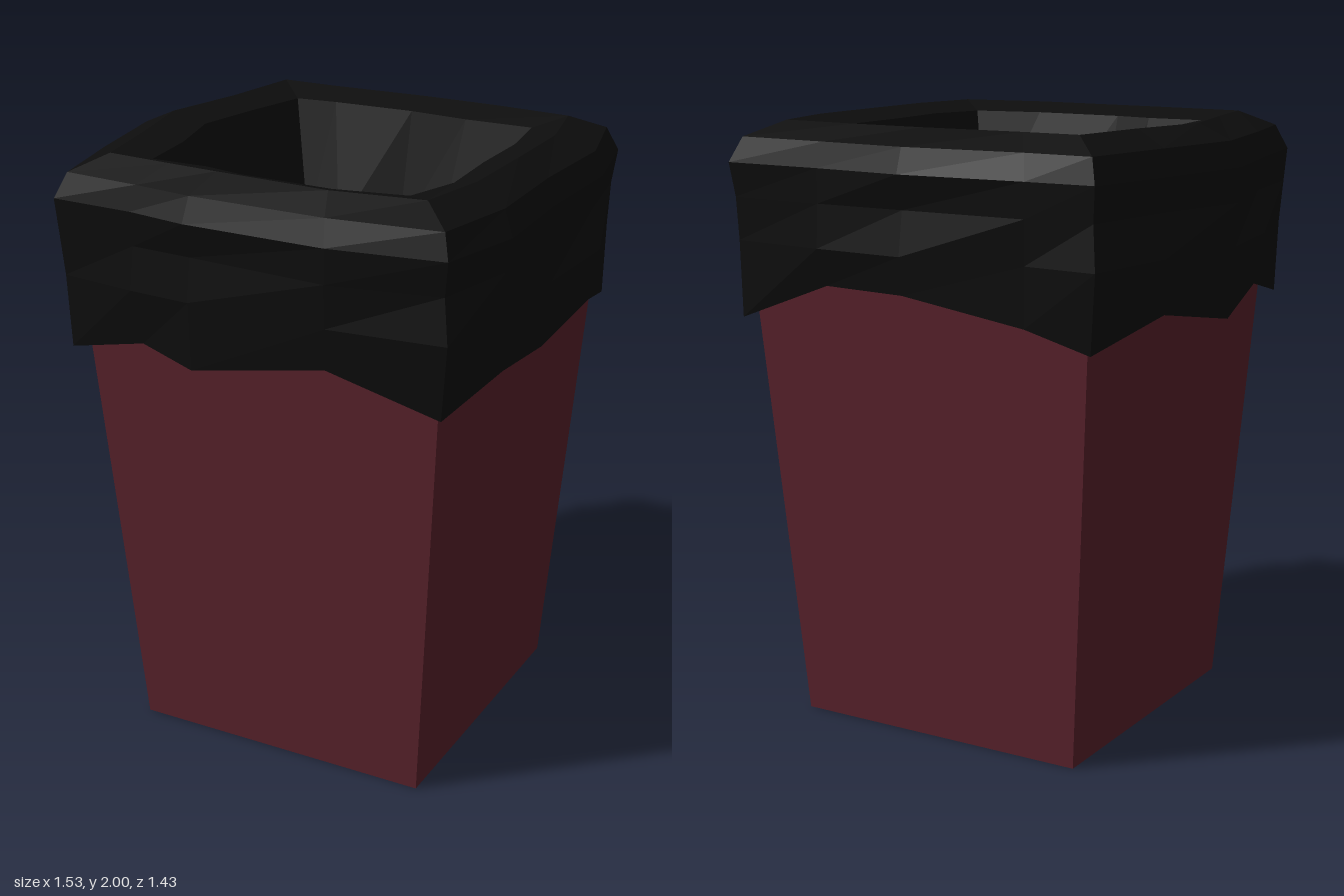
import * as THREE from 'three';

const binRed = new THREE.MeshStandardMaterial({ color: 0x5a222c, side: THREE.DoubleSide });
binRed.name = 'binRed';
const bagBlack = new THREE.MeshStandardMaterial({ color: 0x0d0d0d, side: THREE.DoubleSide });
bagBlack.name = 'bagBlack';

// Square tapered shell, open at the top, plus its floor
function createBin() {
  const bin = new THREE.Group();
  bin.name = 'bin';
  const height = 1.9;
  const wall = new THREE.CylinderGeometry(0.645 * Math.SQRT2, 0.515 * Math.SQRT2, height, 4, 1, true)
    .rotateY(Math.PI / 4).translate(0.04, height / 2, -0.005).toNonIndexed();
  wall.computeVertexNormals();
  const floor = new THREE.PlaneGeometry(1.03, 1.03).rotateX(Math.PI / 2).translate(0.04, 0, -0.005);
  const wallMesh = new THREE.Mesh(wall, binRed);
  wallMesh.name = 'binWalls';
  const floorMesh = new THREE.Mesh(floor, binRed);
  floorMesh.name = 'binFloor';
  bin.add(wallMesh, floorMesh);
  return bin;
}

// Widest outline of the bag: [x, z, hem height], front-left round to the right, back and left
const outline = [
  [-0.64, 0.665, 1.38], [-0.36, 0.68, 1.44], [-0.15, 0.705, 1.4], [0.33, 0.715, 1.485],
  [0.70, 0.665, 1.375], [0.765, 0.37, 1.45], [0.755, 0, 1.4], [0.765, -0.37, 1.45],
  [0.695, -0.685, 1.37], [0.35, -0.70, 1.5], [0.03, -0.72, 1.5], [-0.4, -0.695, 1.43],
  [-0.635, -0.695, 1.37], [-0.70, -0.35, 1.45], [-0.77, 0, 1.39], [-0.70, 0.35, 1.45],
];

// Rings from the hem, up over the rim and down inside: inset, height, wobble
const rings = [
  { inset: 0.025, y: null, wobble: 0.008 },
  { inset: 0.008, y: 1.62, wobble: 0.01 },
  { inset: 0.015, y: 1.76, wobble: 0.012 },
  { inset: 0.002, y: 1.87, wobble: 0.004 },
  { inset: 0.03, y: 1.95, wobble: 0.004 },
  { inset: 0.135, y: 2.0, wobble: 0.006 },
  { inset: 0.24, y: 1.97, wobble: 0.008 },
  { inset: 0.34, y: 1.56, wobble: 0.012 },
];

function createBag() {
  const n = outline.length;
  const positions = [];
  const index = [];
  rings.forEach(({ inset, y, wobble }, j) => {
    outline.forEach(([x, z, hem], i) => {
      const w = inset + wobble * Math.sin(i * 2.3 + j * 1.9);
      // Each side moves in along its own axis, the corners along both
      const k = 1 - w / 0.7;
      positions.push(0.03 + (x - 0.03) * k, y ?? hem, z * k);
      if (j < rings.length - 1) {
        const a = j * n + i, b = j * n + (i + 1) % n;
        index.push(a, b, b + n, a, b + n, a + n);
      }
    });
  });
  // Sagging bottom of the bag
  const centre = rings.length * n;
  positions.push(0.02, 1.5, 0);
  for (let i = 0; i < n; i++) {
    index.push(centre - n + i, centre - n + (i + 1) % n, centre);
  }
  const indexed = new THREE.BufferGeometry();
  indexed.setAttribute('position', new THREE.Float32BufferAttribute(positions, 3));
  indexed.setIndex(index);
  const geometry = indexed.toNonIndexed();
  geometry.computeVertexNormals();
  const bag = new THREE.Mesh(geometry, bagBlack);
  bag.name = 'bagLiner';
  return bag;
}

export function createModel() {
  const model = new THREE.Group();
  model.name = 'linedWasteBin';
  model.add(createBin(), createBag());
  return model;
}
